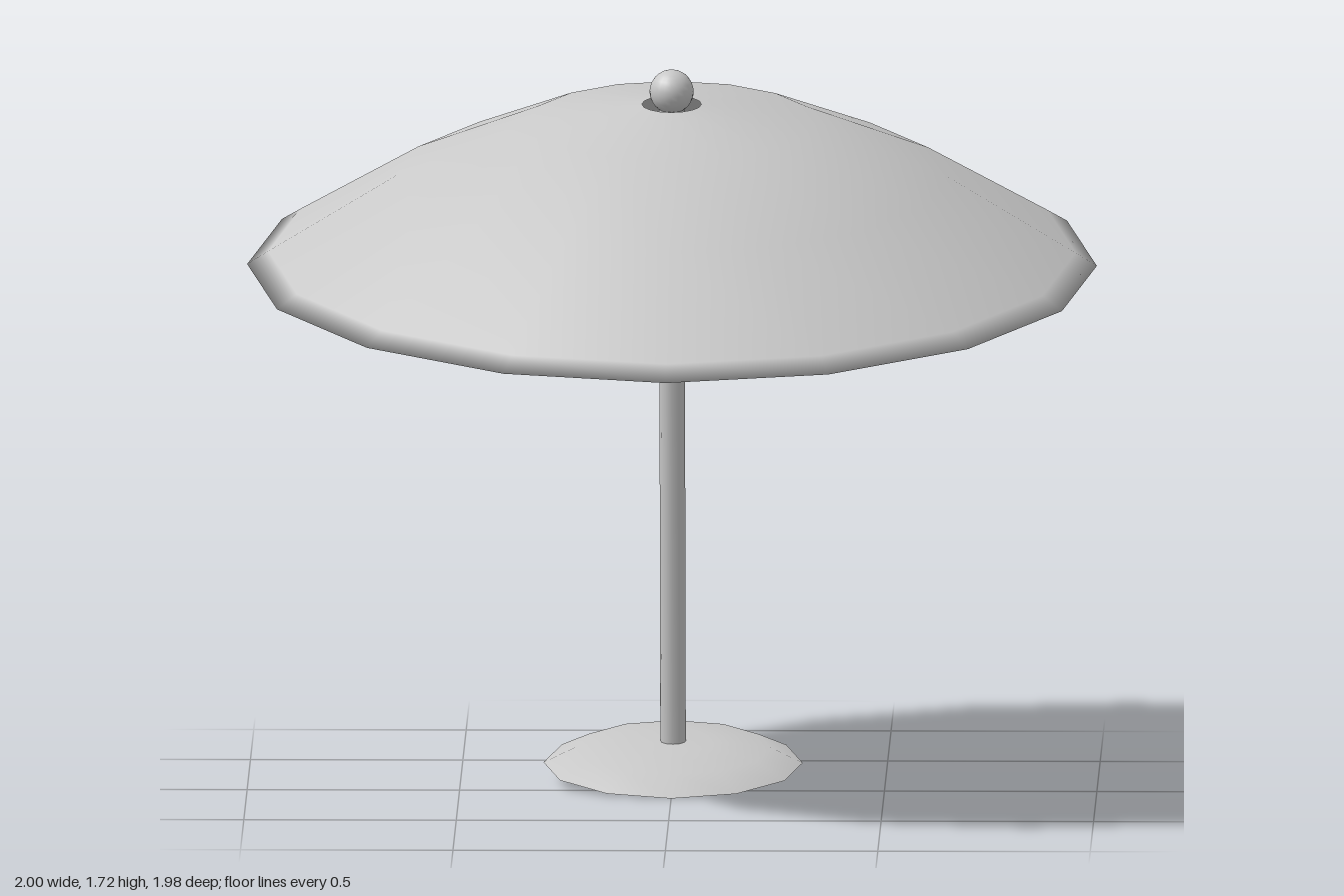
import * as THREE from 'three';

const SIDES = 16;
const BASE_SIDES = 12;

export function createModel() {
  const grey = new THREE.MeshStandardMaterial({ color: 0xc8c8c8, side: THREE.DoubleSide });
  grey.name = 'light grey';

  const model = new THREE.Group();
  model.name = 'parasol';

  // Everything shares one tilted axis, measured from the canopy rim
  const tilted = new THREE.Group();
  tilted.name = 'tiltedParasol';
  tilted.position.set(0, 1.253, 0);
  tilted.rotation.x = THREE.MathUtils.degToRad(8);
  model.add(tilted);

  const add = (name, geometry, y) => {
    const mesh = new THREE.Mesh(geometry, grey);
    mesh.name = name;
    mesh.position.y = y;
    tilted.add(mesh);
    return mesh;
  };
  const lathe = (points, sides) =>
    new THREE.LatheGeometry(points.map(([r, y]) => new THREE.Vector2(r, y)), sides);
  const disc = (radius, sides) => new THREE.CircleGeometry(radius, sides).rotateX(Math.PI / 2);

  // Canopy: rolled lip, dome and a small opening at the top
  add('canopy', lathe([
    [0.89, -0.026], [1, 0], [0.95, 0.032], [0.65, 0.217], [0.34, 0.352], [0.07, 0.394],
  ], SIDES), 0);
  add('canopyUnderside', disc(0.89, SIDES), -0.026);

  // Knob sitting in the opening
  add('knob', new THREE.SphereGeometry(0.052, 20, 14), 0.425);

  // Pole
  add('pole', new THREE.CylinderGeometry(0.03, 0.03, 1.59, 12), -0.395);

  // Shallow domed foot with a flat underside
  add('foot', lathe([
    [0.305, 0], [0.23, 0.037], [0.1, 0.052], [0, 0.054],
  ], BASE_SIDES), -1.219);
  add('footUnderside', disc(0.305, BASE_SIDES), -1.219);

  return model;
}
